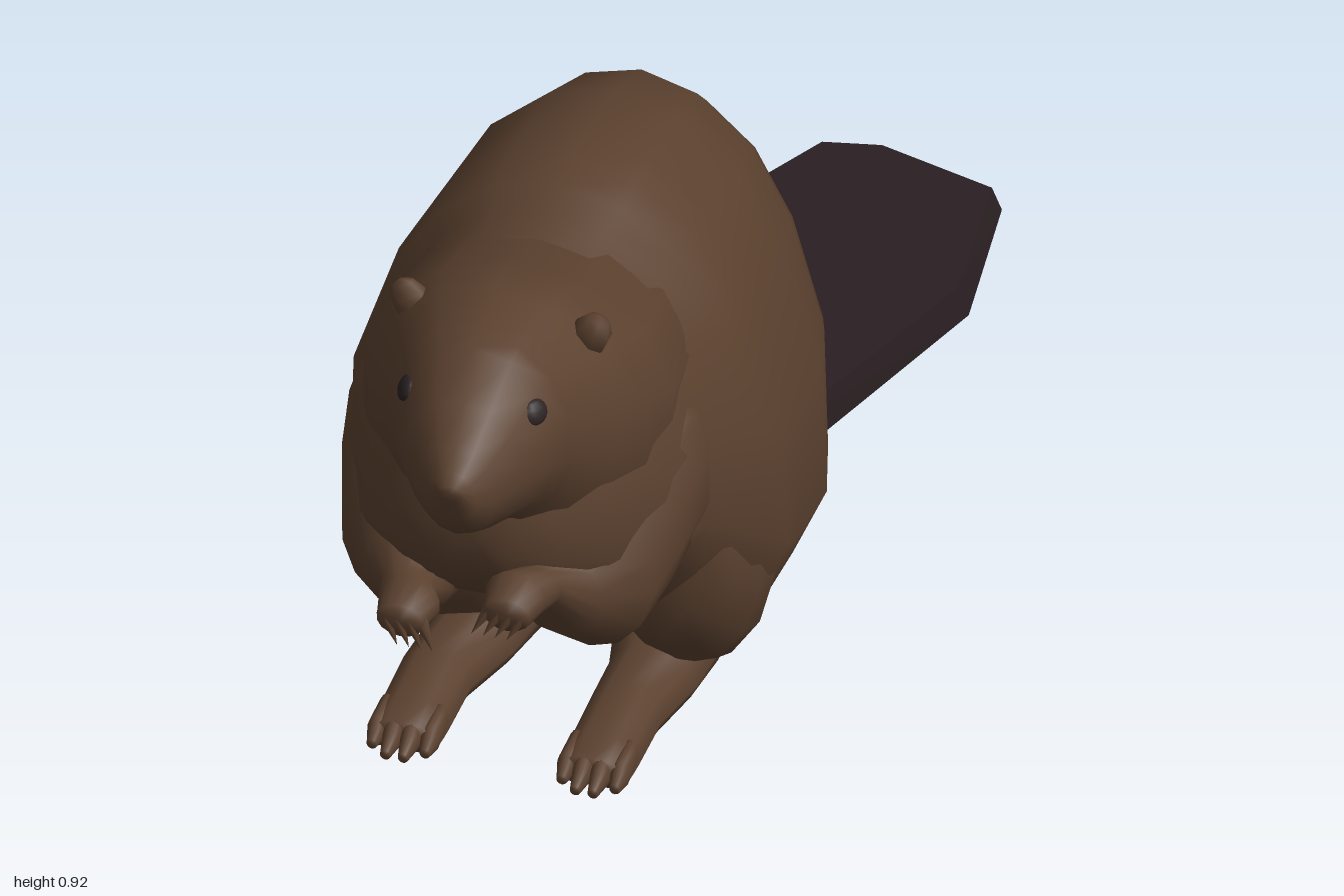
import * as THREE from 'three';

const fur = new THREE.MeshStandardMaterial({ color: 0x5b412f });
fur.name = 'brown fur';
const tailSkin = new THREE.MeshStandardMaterial({ color: 0x2a1f22 });
tailSkin.name = 'dark tail skin';
const eyeDark = new THREE.MeshStandardMaterial({ color: 0x2b2223 });
eyeDark.name = 'dark eye';

// Half cross-sections from bottom to top: [share of half width, share of height]
const pear = [[0, 0], [0.6, 0], [0.84, 0.11], [1, 0.25], [0.98, 0.5], [0.8, 0.73], [0.58, 0.88], [0.3, 0.97], [0, 1]];
const oval = [];
for (let i = 0; i <= 7; i++) {
  const a = Math.PI * i / 7;
  oval.push([Math.sin(a), 0.5 - Math.cos(a) / 2]);
}
const slab = [[0, 0], [0.85, 0], [1, 0.3], [0.85, 0.75], [0.45, 1], [0, 1]];

// Closed skin through rows of [z, centre x, bottom, top, half width], z rising
function loft(rows, half) {
  const ring = half.concat(half.slice(1, -1).reverse().map(([u, v]) => [-u, v]));
  const n = ring.length, pos = [], index = [];
  for (const [z, cx, lo, hi, hw] of rows)
    for (const [u, v] of ring) pos.push(cx + u * hw, lo + v * (hi - lo), z);
  for (let i = 0; i < rows.length - 1; i++) {
    for (let j = 0; j < n; j++) {
      const a = i * n + j, b = i * n + (j + 1) % n;
      index.push(a, b, b + n, a, b + n, a + n);
    }
  }
  const last = rows.length - 1;
  for (const r of [0, last]) {
    const [z, cx, lo, hi] = rows[r], c = pos.length / 3;
    pos.push(cx, (lo + hi) / 2, z);
    for (let j = 0; j < n; j++) {
      const a = r * n + j, b = r * n + (j + 1) % n;
      if (r) index.push(c, a, b); else index.push(c, b, a);
    }
  }
  const g = new THREE.BufferGeometry();
  g.setAttribute('position', new THREE.Float32BufferAttribute(pos, 3));
  g.setIndex(index);
  g.computeVertexNormals();
  return g;
}

function add(parent, name, geometry, material = fur) {
  const m = new THREE.Mesh(geometry, material);
  m.name = name;
  parent.add(m);
  return m;
}

// Flat paddle tail, thinner toward the tip
function tailGeometry() {
  const outline = [[-0.12, 0.15], [0.12, 0.15], [0.29, 0.68], [0.255, 0.945], [0.06, 1], [-0.03, 0.98], [-0.175, 0.69]];
  const shape = new THREE.Shape(outline.map(([x, y]) => new THREE.Vector2(x, y)));
  const g = new THREE.ExtrudeGeometry(shape, { depth: 0.07, bevelEnabled: false });
  g.rotateX(-Math.PI / 2);
  const p = g.attributes.position;
  for (let i = 0; i < p.count; i++) {
    if (p.getY(i) < 0.01) continue;
    const z = p.getZ(i);
    p.setXYZ(i, 0.04 + (p.getX(i) - 0.04) * 0.95, 0.075 + z * 0.03, z * 0.985);
  }
  g.computeVertexNormals();
  return g;
}

export function createModel() {
  const model = new THREE.Group();
  model.name = 'beaver';

  // Body from rump to chest
  add(model, 'body', loft([
    [-0.24, 0, 0.08, 0.14, 0.04], [-0.21, 0, 0.05, 0.43, 0.11], [-0.19, 0, 0.03, 0.65, 0.16],
    [-0.1, 0, 0.015, 0.755, 0.26], [-0.03, 0, 0.01, 0.82, 0.285], [0.1, 0, 0.01, 0.872, 0.325],
    [0.24, 0, 0.03, 0.89, 0.33], [0.3, 0, 0.06, 0.893, 0.33], [0.36, 0, 0.13, 0.88, 0.32],
    [0.41, 0, 0.19, 0.868, 0.285], [0.5, 0, 0.28, 0.855, 0.27], [0.6, 0, 0.32, 0.84, 0.245],
    [0.7, 0, 0.38, 0.78, 0.19], [0.76, 0, 0.44, 0.7, 0.13], [0.79, 0, 0.49, 0.62, 0.07],
  ], pear));

  // Head with a deep neck running into the chest, turned slightly to the left
  add(model, 'head', loft([
    [0.28, 0, 0.5, 0.8, 0.15], [0.42, 0, 0.42, 0.85, 0.23], [0.54, 0, 0.4, 0.872, 0.238],
    [0.62, 0.002, 0.41, 0.914, 0.222], [0.68, 0.005, 0.45, 0.916, 0.195], [0.74, 0.01, 0.515, 0.915, 0.163],
    [0.785, 0.014, 0.575, 0.914, 0.144], [0.82, 0.018, 0.602, 0.907, 0.13], [0.9, 0.028, 0.64, 0.865, 0.094],
    [0.955, 0.035, 0.67, 0.825, 0.06], [0.985, 0.039, 0.71, 0.8, 0.036], [1, 0.04, 0.76, 0.785, 0.018],
  ], oval));

  // Muzzle lip
  const lip = add(model, 'lip', new THREE.SphereGeometry(0.03, 10, 6));
  lip.scale.set(1.2, 0.6, 0.7);
  lip.position.set(0.038, 0.694, 0.948);

  for (const side of [1, -1]) {
    const word = side > 0 ? 'left' : 'right';

    // Short rounded ear
    const ear = add(model, word + 'Ear', new THREE.SphereGeometry(0.036, 7, 5));
    ear.scale.set(0.85, 1.1, 0.6);
    ear.position.set(0.008 + side * 0.138, 0.85, 0.66);
    ear.rotation.z = -side * 0.4;

    // Eye
    const eye = add(model, word + 'Eye', new THREE.SphereGeometry(0.022, 12, 8), eyeDark);
    eye.scale.set(0.45, 0.9, 1);
    eye.position.set(0.02 + side * 0.099, 0.828, 0.84);
    eye.rotation.set(0, -side * 0.45, side * 0.45);

    // Foreleg: shoulder, elbow, wrist and paw; the left paw is held higher
    const up = side > 0 ? 0.045 : 0;
    const pawX = side > 0 ? 0.083 : -0.08;
    const arm = new THREE.Group();
    arm.name = word + 'Foreleg';
    model.add(arm);
    add(arm, word + 'Arm', loft([
      [0.35, side * 0.15, 0.42, 0.66, 0.08], [0.5, side * 0.165, 0.34, 0.68, 0.113],
      [0.58, side * 0.16, 0.31, 0.64, 0.103], [0.65, side * 0.14, 0.285, 0.56, 0.1],
      [0.72, side * 0.115, 0.335 + up * 0.3, 0.48 + up * 0.3, 0.07], [0.78, pawX + side * 0.015, 0.39 + up, 0.46 + up, 0.042],
      [0.82, pawX, 0.39 + up, 0.475 + up, 0.047], [0.865, pawX, 0.4 + up, 0.455 + up, 0.036],
    ], oval));
    for (let i = 0; i < 4; i++) {
      const finger = add(arm, word + 'Finger', new THREE.ConeGeometry(0.013, 0.055, 6));
      finger.position.set(pawX + (i - 1.5) * 0.018 - side * 0.012, 0.41 + up, 0.862);
      finger.rotation.set(Math.PI - 0.45, 0, side * 0.5);
    }

    // Thigh bulging over the foot
    const leg = new THREE.Group();
    leg.name = word + 'HindLeg';
    model.add(leg);
    add(leg, word + 'Thigh', loft([
      [0, side * 0.14, 0.05, 0.4, 0.06], [0.27, side * 0.18, 0.01, 0.48, 0.125], [0.34, side * 0.18, 0.05, 0.48, 0.125],
      [0.4, side * 0.172, 0.12, 0.46, 0.108], [0.44, side * 0.165, 0.18, 0.42, 0.075],
    ], oval));

    // Long flat hind foot with toes
    const fx = side > 0 ? 0.13 : -0.16;
    add(leg, word + 'Sole', loft([
      [-0.15, side * 0.09, 0, 0.05, 0.06], [0, side * 0.125, 0, 0.1, 0.085], [0.25, side * 0.135, 0, 0.13, 0.085],
      [0.35, side * 0.14, 0, 0.075, 0.068], [0.45, fx, 0, 0.07, 0.056], [0.56, fx, 0, 0.06, 0.056],
      [0.605, fx, 0.002, 0.048, 0.053],
    ], slab));
    for (let i = 0; i < 4; i++) {
      const x = fx + (i - 1.5) * 0.027;
      const reach = i === 1 || i === 2 ? 0.02 : 0;
      add(leg, word + 'Toe', loft([
        [0.55, x, 0.003, 0.055, 0.013], [0.6 + reach / 2, x, 0.002, 0.048, 0.015],
        [0.625 + reach, x, 0.008, 0.024, 0.008],
      ], oval));
    }
  }

  // Tail and its furry root
  add(model, 'tail', tailGeometry(), tailSkin);
  add(model, 'tailRoot', loft([
    [-0.235, 0, 0.06, 0.085, 0.035], [-0.19, 0, 0.005, 0.13, 0.13], [-0.1, 0, 0.005, 0.2, 0.2], [0, 0, 0.005, 0.2, 0.21],
  ], oval));
  return model;
}
